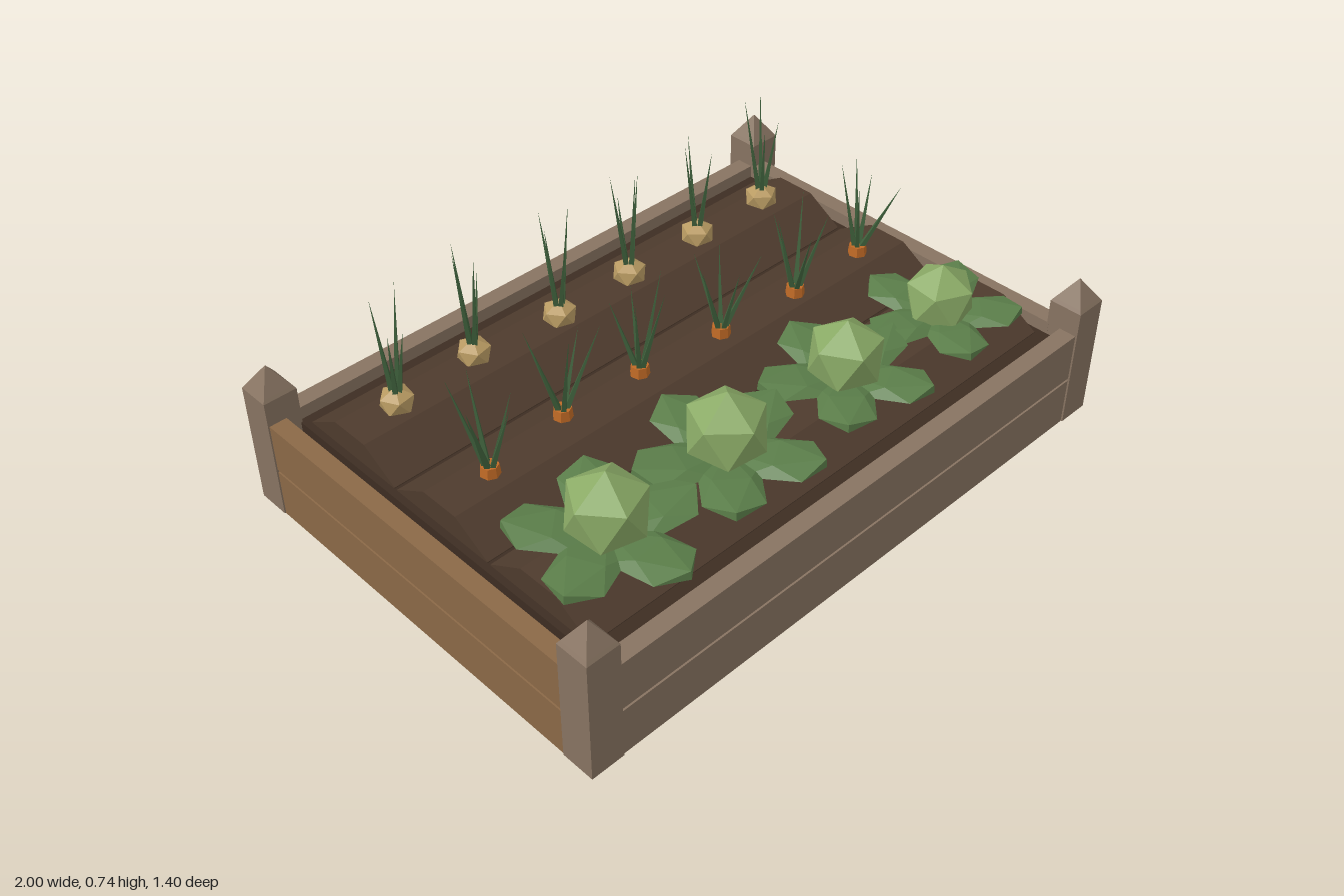
import * as THREE from 'three';

const mat = (name, color) => {
  const m = new THREE.MeshStandardMaterial({ color, flatShading: true });
  m.name = name;
  return m;
};

export function createModel() {
  const root = new THREE.Group();
  root.name = 'vegetableBed';
  const wood = mat('weatheredWood', 0x877361);
  const warmWood = mat('warmWood', 0x8a6846);
  const soil = mat('darkSoil', 0x3d2d22);
  const ridgeSoil = mat('ridgeSoil', 0x4e3b2d);
  const headGreen = mat('cabbageHeadGreen', 0x8aaa66);
  const leafGreen = mat('cabbageLeafGreen', 0x5a7d49);
  const stalkGreen = mat('stalkGreen', 0x3f613c);
  const orange = mat('carrotOrange', 0xc06a26);
  const tan = mat('onionTan', 0xb89a62);

  let seed = 7;
  const rnd = (a, b) => {
    seed = (seed * 16807) % 2147483647;
    return a + (b - a) * (seed / 2147483647);
  };
  const add = (parent, name, geo, material, x = 0, y = 0, z = 0) => {
    const m = new THREE.Mesh(geo, material);
    m.name = name;
    m.position.set(x, y, z);
    parent.add(m);
    return m;
  };
  // four-sided block tapering from half width a to half width b
  const taper = (a, b, h) =>
    new THREE.CylinderGeometry(b * Math.SQRT2, a * Math.SQRT2, h, 4).rotateY(Math.PI / 4).translate(0, h / 2, 0);

  // corner posts with chamfered tops and pointed caps
  for (const sx of [-1, 1]) for (const sz of [-1, 1]) {
    const post = new THREE.Group();
    post.name = 'cornerPost';
    post.position.set(sx * 0.9475, 0, sz * 0.6475);
    add(post, 'postFoot', taper(0.047, 0.0525, 0.006), wood);
    add(post, 'postShaft', taper(0.0525, 0.0525, 0.395), wood, 0, 0.006, 0);
    add(post, 'postShoulder', taper(0.0525, 0.046, 0.01), wood, 0, 0.401, 0);
    add(post, 'postCap', taper(0.046, 0.0005, 0.068), wood, 0, 0.411, 0);
    root.add(post);
  }

  // two stacked planks on each side
  for (const y of [0.081, 0.245]) {
    const long = new THREE.BoxGeometry(1.8, 0.155, 0.055);
    const short = new THREE.BoxGeometry(0.055, 0.155, 1.2);
    add(root, 'frontPlank', long, wood, 0, y, 0.667);
    add(root, 'backPlank', long, wood, 0, y, -0.633);
    add(root, 'leftPlank', short, wood, 0.922, y, 0);
    add(root, 'rightPlank', short, warmWood, -0.968, y, 0);
  }

  // soil block and three planting ridges
  add(root, 'soil', new THREE.BoxGeometry(1.795, 0.27, 1.225), soil, -0.002, 0.147, 0.007);
  for (const z of [-0.385, 0, 0.385]) {
    const s = new THREE.Shape([[-0.187, 0.27], [0.187, 0.27], [0.187, 0.285], [0.065, 0.358],
      [-0.065, 0.358], [-0.187, 0.285]].map(p => new THREE.Vector2(...p)));
    const g = new THREE.ExtrudeGeometry(s, { depth: 1.75, bevelEnabled: false });
    g.translate(0, 0, -0.875).rotateY(Math.PI / 2);
    add(root, 'soilRidge', g, ridgeSoil, -0.003, 0, z);
  }

  // cabbages: faceted head over five flattened leaves [x, z, size, leaf angle]
  const uprightIco = r => new THREE.IcosahedronGeometry(r, 0).rotateZ(Math.atan(2 / (1 + Math.sqrt(5))));
  const cabbages = [[-0.65, 0.385, 1, 83], [-0.225, 0.38, 1, 58], [0.24, 0.38, 0.95, 64], [0.65, 0.38, 0.9, 47]];
  for (const [x, z, k, angle] of cabbages) {
    const cabbage = new THREE.Group();
    cabbage.name = 'cabbage';
    cabbage.position.set(x, 0, z);
    const head = add(cabbage, 'cabbageHead', uprightIco(0.122 * k), headGreen, 0, 0.575 - 0.122 - (1 - k) * 0.25, 0);
    head.rotation.y = angle;
    for (let i = 0; i < 5; i++) {
      const a = THREE.MathUtils.degToRad(angle + i * 72);
      const g = new THREE.IcosahedronGeometry(1, 0).scale(0.097 * k, 0.025 * k, 0.155 * k);
      g.rotateX(-0.1).rotateY(Math.PI / 2 - a);
      add(cabbage, 'cabbageLeaf', g, leafGreen, Math.cos(a) * 0.135 * k, 0.375, Math.sin(a) * 0.135 * k);
    }
    root.add(cabbage);
  }

  // thin pointed stalks fanning out from a crown
  const addStalks = (plant, y, count, spread, minTop, maxTop) => {
    const turn = rnd(0, 6.28);
    for (let i = 0; i < count; i++) {
      const a = turn + (i / count) * Math.PI * 2 + rnd(-0.35, 0.35);
      const r = rnd(spread * 0.45, spread);
      const dir = new THREE.Vector3(Math.cos(a) * r, rnd(minTop, maxTop) - y, Math.sin(a) * r);
      const len = dir.length();
      const g = new THREE.ConeGeometry(0.0105, len, 4).translate(0, len / 2, 0);
      const stalk = add(plant, 'stalk', g, stalkGreen, Math.cos(a) * 0.01, y, Math.sin(a) * 0.01);
      stalk.quaternion.setFromUnitVectors(new THREE.Vector3(0, 1, 0), dir.normalize());
    }
  };

  // carrot row
  const carrots = [[-0.71, 0], [-0.425, -0.04], [-0.15, -0.03], [0.14, 0], [0.435, 0.015], [0.725, 0.005]];
  for (const [x, z] of carrots) {
    const carrot = new THREE.Group();
    carrot.name = 'carrot';
    carrot.position.set(x, 0, z);
    add(carrot, 'carrotTop', new THREE.CylinderGeometry(0.026, 0.031, 0.05, 7), orange, 0, 0.365, 0);
    addStalks(carrot, 0.38, 5, 0.105, 0.58, 0.69);
    root.add(carrot);
  }

  // onion row
  const onions = [[-0.715, -0.39], [-0.43, -0.412], [-0.14, -0.38], [0.145, -0.39], [0.435, -0.395], [0.725, -0.4]];
  for (const [x, z] of onions) {
    const onion = new THREE.Group();
    onion.name = 'onion';
    onion.position.set(x, 0, z);
    const bulb = add(onion, 'onionBulb', uprightIco(0.055).scale(1, 0.85, 1), tan, 0, 0.375, 0);
    bulb.rotation.y = x * 9;
    addStalks(onion, 0.4, 4, 0.055, 0.62, 0.74);
    root.add(onion);
  }
  return root;
}
